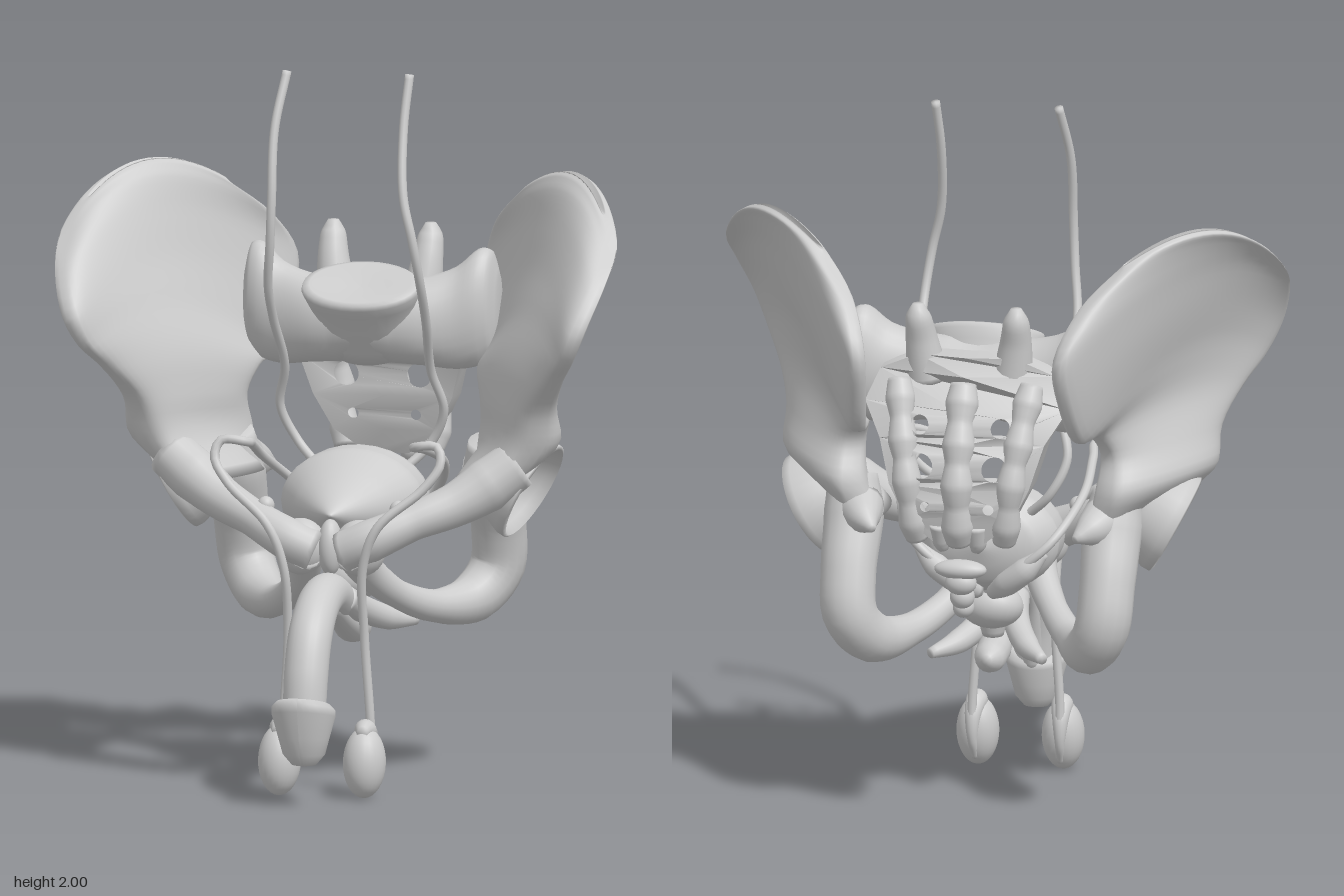
import * as THREE from 'three';
import { mergeGeometries, toCreasedNormals } from 'three/addons/utils/BufferGeometryUtils.js';

const V = (x, y, z) => new THREE.Vector3(x, y, z);
const lerpTable = (a, t) => {
  const f = Math.min(Math.max(t, 0), 1) * (a.length - 1), i = Math.min(Math.floor(f), a.length - 2);
  return a[i] + (a[i + 1] - a[i]) * (f - i);
};

// Closed skin over a list of rings, with both ends capped
function loft(rings) {
  const n = rings[0].length, pos = [], idx = [];
  rings.forEach(r => r.forEach(p => pos.push(p.x, p.y, p.z)));
  for (let i = 0; i < rings.length - 1; i++) for (let j = 0; j < n; j++) {
    const a = i * n + j, b = i * n + (j + 1) % n;
    idx.push(a, b, a + n, b, b + n, a + n);
  }
  [0, rings.length - 1].forEach(e => {
    const c = rings[e].reduce((s, p) => s.add(p), V(0, 0, 0)).divideScalar(n), k = pos.length / 3;
    pos.push(c.x, c.y, c.z);
    for (let j = 0; j < n; j++) {
      const a = e * n + j, b = e * n + (j + 1) % n;
      e ? idx.push(k, a, b) : idx.push(k, b, a);
    }
  });
  const g = new THREE.BufferGeometry();
  g.setAttribute('position', new THREE.Float32BufferAttribute(pos, 3));
  g.setIndex(idx);
  g.computeVertexNormals();
  return g;
}

// Tube of varying radius through points [x, y, z, r]
function limb(pts, steps = 32, sides = 16) {
  const curve = new THREE.CatmullRomCurve3(pts.map(p => V(p[0], p[1], p[2])));
  const fr = curve.computeFrenetFrames(steps), radii = pts.map(p => p[3]), rings = [];
  for (let i = 0; i <= steps; i++) {
    const p = curve.getPointAt(i / steps), r = lerpTable(radii, curve.getUtoTmapping(i / steps));
    rings.push(Array.from({ length: sides }, (_, j) => {
      const a = j / sides * Math.PI * 2;
      return p.clone().addScaledVector(fr.normals[i], r * Math.cos(a)).addScaledVector(fr.binormals[i], r * Math.sin(a));
    }));
  }
  return loft(rings);
}
const cord = (pts, r) => limb(pts.map(p => [...p, r]), 90, 10);

function blob(x, y, z, rx, ry, rz, tiltX = 0) {
  return new THREE.SphereGeometry(1, 24, 16).scale(rx, ry, rz).rotateX(tiltX).translate(x, y, z);
}

function lathe(prof, sides = 32) {
  return new THREE.LatheGeometry(prof.map(p => new THREE.Vector2(...p)), sides);
}

function mirrored(geo) {
  const g = geo.clone().scale(-1, 1, 1);
  return g.setIndex(Array.from(g.index.array).reverse());
}

// Iliac wing: rows from the neck to the crest, each [front, middle, back, thickness, extra thickness at the margins]
function wingGeometry() {
  const rows = [
    [[.46, .84, .09], [.36, .85, -.06], [.34, .84, -.26], .13, 0],
    [[.56, .97, .10], [.49, .98, -.06], [.36, .96, -.28], .19, 0],
    [[.59, 1.08, .13], [.49, 1.08, -.04], [.36, 1.06, -.24], .15, 0],
    [[.65, 1.18, .21], [.49, 1.2, -.03], [.33, 1.13, -.29], .1, .2],
    [[.70, 1.25, .28], [.52, 1.33, -.06], [.31, 1.14, -.41], .065, .6],
    [[.735, 1.33, .3], [.55, 1.45, -.1], [.29, 1.25, -.5], .055, 1],
    [[.775, 1.45, .22], [.58, 1.58, -.13], [.28, 1.4, -.555], .05, 1],
    [[.785, 1.54, .11], [.6, 1.67, -.16], [.33, 1.53, -.46], .055, .6],
    [[.755, 1.615, .03], [.61, 1.705, -.18], [.42, 1.63, -.35], .05, .2],
    [[.74, 1.63, .01], [.61, 1.715, -.18], [.43, 1.645, -.34], .02, 0],
  ];
  const [F, M, B] = [0, 1, 2].map(k => new THREE.CatmullRomCurve3(rows.map(r => V(...r[k]))));
  const rings = [], steps = 40, sides = 48;
  for (let i = 0; i <= steps; i++) {
    const t = i / steps, f = F.getPoint(t), m = M.getPoint(t), b = B.getPoint(t);
    const at = s => V(0, 0, 0).addScaledVector(f, (1 - s) * (1 - 2 * s)).addScaledVector(m, 4 * s * (1 - s)).addScaledVector(b, s * (2 * s - 1));
    const th = lerpTable(rows.map(r => r[3]), t) / 2, edge = lerpTable(rows.map(r => r[4]), t);
    rings.push(Array.from({ length: sides }, (_, j) => {
      const a = j / sides * Math.PI * 2, s = .5 + .5 * Math.cos(a), w = Math.sin(a);
      const d = at(s + .01).sub(at(s - .01)), side = V(d.z, 0, -d.x).normalize();
      return at(s).addScaledVector(side, Math.sign(w) * Math.abs(w) ** .6 * th * (1 + edge * (2 * s - 1) ** 4 * 1.4));
    }));
  }
  return loft(rings);
}

// Hip socket: a turned cup facing outwards and down
function socketGeometry() {
  const g = lathe([[0, -.17], [.08, -.15], [.125, -.09], [.15, -.02], [.15, .005], [.14, .01], [.128, -.02], [.1, -.07], [.05, -.095], [0, -.1]]);
  g.applyQuaternion(new THREE.Quaternion().setFromUnitVectors(V(0, 1, 0), V(.86, -.48, .1).normalize()));
  return g.translate(.515, .83, -.065);
}

// Lower sacrum: a curved plate made of bands, pierced by paired holes
const sacrumAt = y => (y - .86) / .6;
const sacrumFront = y => lerpTable([-.49, -.46, -.44, -.43, -.39, -.36, -.36, -.36], sacrumAt(y));
const sacrumBack = y => lerpTable([-.54, -.57, -.575, -.56, -.53, -.49, -.45, -.41], sacrumAt(y));
function sacrumGeometry() {
  const ys = [1.38, 1.33, 1.24, 1.15, 1.03, .93, .86], ws = [.14, .25, .29, .235, .2, .15, .06];
  const holes = { 2: [.115, 1.2, .026], 3: [.105, 1.09, .035], 4: [.09, .975, .015] };
  const bands = ys.slice(0, -1).map((y, i) => {
    const shape = new THREE.Shape([[-ws[i], y], [0, y], [ws[i], y], [ws[i + 1], ys[i + 1]], [0, ys[i + 1]], [-ws[i + 1], ys[i + 1]]]
      .map(p => new THREE.Vector2(...p)));
    if (holes[i]) [1, -1].forEach(m => {
      const h = new THREE.Path();
      h.absarc(m * holes[i][0], holes[i][1], holes[i][2], 0, Math.PI * 2, true);
      shape.holes.push(h);
    });
    return new THREE.ExtrudeGeometry(shape, { depth: 1, bevelEnabled: false, curveSegments: 10 });
  });
  const g = mergeGeometries(bands), p = g.attributes.position;
  for (let i = 0; i < p.count; i++) {
    const y = p.getY(i), x2 = p.getX(i) ** 2;
    p.setZ(i, p.getZ(i) > .5 ? sacrumFront(y) + .4 * x2 : sacrumBack(y) + x2);
  }
  return toCreasedNormals(g, .9);
}

// Upper sacrum: oval sections from side to side, each [x, y, z, half height, half depth]
function sacrumWingGeometry() {
  const half = [[.08, 1.27, -.25, .12, .1], [.16, 1.27, -.255, .125, .095], [.25, 1.28, -.275, .145, .085], [.31, 1.31, -.29, .165, .085],
    [.345, 1.32, -.3, .15, .075], [.365, 1.31, -.31, .09, .035]];
  const sections = [...half.slice().reverse().map(([x, ...r]) => [-x, ...r]), ...half];
  const centre = new THREE.CatmullRomCurve3(sections.map(s => V(s[0], s[1], s[2])));
  const size = new THREE.CatmullRomCurve3(sections.map(s => V(s[3], s[4], 0)));
  return loft(Array.from({ length: 45 }, (_, i) => {
    const c = centre.getPoint(i / 44), r = size.getPoint(i / 44);
    return Array.from({ length: 24 }, (_, j) => {
      const a = j / 24 * Math.PI * 2;
      return V(c.x, c.y + r.x * Math.cos(a), c.z + r.y * Math.sin(a));
    });
  }));
}

export function createModel() {
  const model = new THREE.Group();
  model.name = 'pelvisAnatomy';
  const grey = new THREE.MeshStandardMaterial({ color: 0xcccccc });
  grey.name = 'pale grey';
  const add = (name, geo) => {
    const m = new THREE.Mesh(geo, grey);
    m.name = name;
    model.add(m);
  };
  const both = (name, geo) => { add(name + 'Left', geo); add(name + 'Right', mirrored(geo)); };

  // Hip bones
  both('iliacWing', wingGeometry());
  both('hipSocket', socketGeometry());
  both('upperPubicBranch', limb([[.5, .92, .04, .07], [.42, .86, .07, .075], [.34, .81, .115, .062], [.23, .765, .18, .052], [.12, .715, .225, .06], [.04, .68, .22, .058]]));
  both('pubicBody', blob(.085, .69, .2, .075, .08, .055));
  both('sittingBone', limb([[.07, .68, .21, .055], [.09, .62, .14, .048], [.15, .54, .03, .04], [.23, .49, -.1, .046], [.31, .5, -.24, .072],
    [.36, .58, -.3, .078], [.37, .7, -.275, .078], [.37, .85, -.2, .085], [.38, .95, -.17, .07]], 44));
  both('sittingBoneSpine', limb([[.35, .87, -.22, .07], [.32, .855, -.29, .045], [.29, .84, -.335, .012]], 10));
  both('pubicTubercle', blob(.19, .8, .18, .024, .025, .024));
  add('pubicJoint', blob(0, .69, .2, .035, .08, .045));

  // Sacrum and tailbone
  add('sacrum', sacrumGeometry());
  add('sacrumWings', sacrumWingGeometry());
  add('sacrumBody', lathe([[0, -.14], [.1, -.13], [.13, -.08], [.14, 0], [.16, .06], [.17, .09], [.165, .105], [.145, .11], [.08, .1], [0, .097]])
    .scale(1, 1, .65).rotateX(.5).translate(0, 1.29, -.21));
  both('sacrumProcess', limb([[.12, 1.3, -.38, .06], [.135, 1.42, -.4, .045], [.14, 1.49, -.42, .036], [.14, 1.525, -.42, .015]], 16));
  const ridge = (x, size) => limb([1.31, 1.26, 1.21, 1.15, 1.1, 1.04, .98, .92, .87].map((y, i) =>
    [x * (1.15 - i * .05), y, sacrumBack(y) + x * x + size * .35, size * (i % 2 ? 1.2 : .9)]), 48);
  add('sacrumRidge', ridge(0, .04));
  both('sacrumSideRidge', ridge(.165, .036));
  both('sacrumHorn', limb([[.05, .92, -.53, .035], [.05, .86, -.52, .025], [.045, .84, -.52, .012]], 8));
  [[.785, -.51, .075, .028], [.745, -.505, .045, .035], [.7, -.485, .035, .035], [.665, -.468, .03, .03]].forEach(([y, z, w, h], i) =>
    add('tailbone' + i, blob(0, y, z, w, h, .035)));

  // Bladder, prostate and glands
  add('bladder', limb([[0, 0, .21, .006], [0, 0, .15, .065], [0, 0, .05, .14], [0, 0, -.06, .205], [0, 0, -.15, .205], [0, 0, -.22, .14], [0, 0, -.25, .02]], 32, 28)
    .scale(1, .74, 1).translate(0, .78, 0));
  add('bladderNeck', limb([[0, .7, -.08, .12], [0, .63, -.08, .07], [0, .48, -.07, .03]], 16));
  add('prostate', blob(0, .57, -.09, .09, .065, .08, .3));
  both('seminalGland', limb([[.02, .63, -.17, .02], [.07, .67, -.22, .035], [.13, .72, -.24, .035], [.18, .77, -.23, .015]], 20));

  // Shaft, bulb and tip
  add('shaft', limb([[0, .49, .04, .04], [0, .535, .13, .055], [0, .565, .24, .058], [0, .545, .35, .06], [0, .475, .44, .062], [0, .37, .49, .062], [0, .24, .515, .06]], 48, 24));
  both('shaftRoot', limb([[.02, .54, .14, .04], [.04, .5, .04, .04], [.1, .455, -.08, .034], [.16, .44, -.16, .015]], 24));
  add('urethraBulb', limb([[0, .43, -.16, .015], [0, .425, -.12, .045], [0, .435, -.05, .048], [0, .47, .06, .036], [0, .515, .18, .03],
    [0, .515, .29, .03], [0, .46, .38, .03], [0, .36, .44, .03], [0, .25, .475, .03]], 48));
  const tip = lathe([[0, 0], [.035, .006], [.06, .035], [.072, .08], [.09, .145], [.09, .165], [.075, .18], [.04, .18], [0, .18]]).scale(1, 1, .85);
  const tp = tip.attributes.position;
  for (let i = 0; i < tp.count; i++) tp.setY(i, tp.getY(i) * (1 + 2.2 * tp.getZ(i)));
  tip.computeVertexNormals();
  add('tip', tip.rotateX(.05).translate(0, .115, .515));

  // Testes and cords
  both('testis', blob(.122, .1, .3, .06, .1, .066, -.1));
  both('epididymis', limb([[.122, .185, .33, .015], [.122, .19, .29, .032], [.125, .16, .25, .024], [.125, .09, .238, .014], [.122, .03, .265, .01]], 24));
  both('spermCord', cord([[.125, .1, .235], [.125, .2, .24], [.11, .45, .25], [.115, .65, .29], [.16, .765, .3], [.28, .87, .26], [.325, .94, .235],
    [.31, .985, .215], [.24, .98, .2], [.25, .96, .1], [.26, .9, -.08], [.2, .8, -.24], [.09, .7, -.24], [.02, .62, -.15]], .013));

  // Ureters
  const lower = [[.22, 1.3, -.03], [.21, 1.15, -.13], [.235, 1.03, -.18], [.19, .93, -.2], [.12, .86, -.17]];
  add('ureterLeft', cord([[.175, 2, -.02], [.167, 1.85, .02], [.178, 1.67, .07], [.205, 1.55, .08], [.22, 1.43, .05], ...lower], .013));
  add('ureterRight', cord([[-.175, 2, -.01], [-.198, 1.84, .045], [-.198, 1.65, .08], [-.205, 1.52, .07], [-.22, 1.4, .03],
    ...lower.map(p => [-p[0], p[1], p[2]])], .013));
  return model;
}
